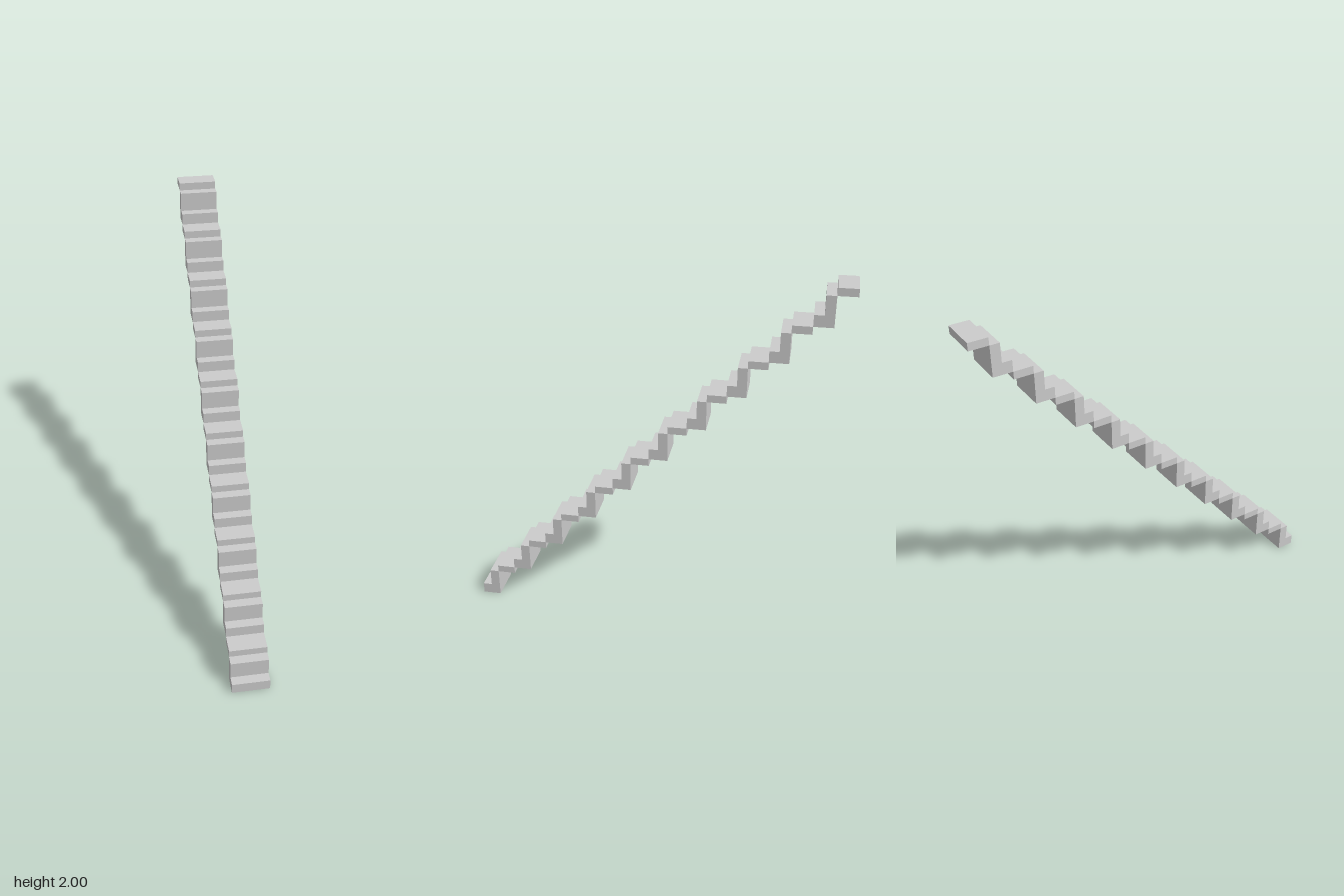
import * as THREE from 'three';

const STEPS = 10, PITCH = 0.2, WIDTH = 0.2;

export function createModel() {
  const group = new THREE.Group();
  group.name = 'staircase';
  const material = new THREE.MeshStandardMaterial({ color: 0xcccccc, flatShading: true });

  // L-shaped riser: low foot in front, thin upright behind (profile runs back, then up)
  const profile = new THREE.Shape([
    [0, 0], [0.1, 0], [0.1, 0.16], [0.05, 0.16], [0.05, 0.06], [0, 0.06],
  ].map(([back, up]) => new THREE.Vector2(back, up)));
  const riserGeometry = new THREE.ExtrudeGeometry(profile, { depth: WIDTH, bevelEnabled: false });
  riserGeometry.translate(0, 0, -WIDTH / 2).rotateY(Math.PI / 2);

  // Thin tread slab meeting the riser's top back edge
  const treadGeometry = new THREE.BoxGeometry(WIDTH, 0.04, 0.1).translate(0, 0.18, -0.15);

  for (let i = 0; i < STEPS; i++) {
    const step = new THREE.Group();
    step.name = `step${i + 1}`;
    const riser = new THREE.Mesh(riserGeometry, material);
    riser.name = 'riser';
    const tread = new THREE.Mesh(treadGeometry, material);
    tread.name = 'tread';
    step.add(riser, tread);
    step.position.set(0, i * PITCH, 1 - i * PITCH);
    group.add(step);
  }
  return group;
}
